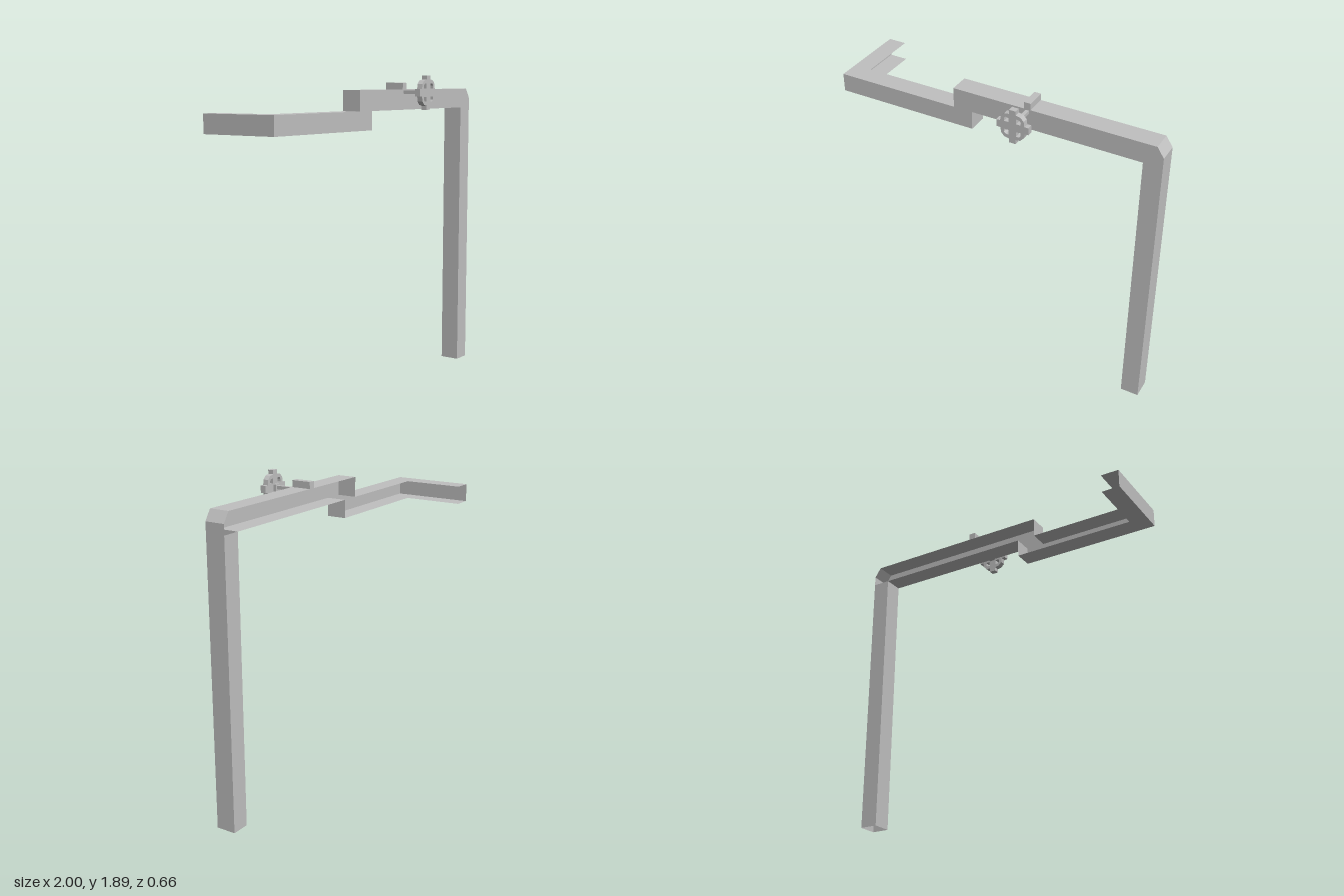
import * as THREE from 'three';

const FRONT = 0.16, BACK = 0.04, ARM_END = -0.33;

// Sheet made by sweeping an x/y path from zf back to zb
function ribbon(path, zf, zb) {
  const pos = [];
  for (let i = 0; i < path.length - 1; i++) {
    const [ax, ay] = path[i], [bx, by] = path[i + 1];
    pos.push(ax, ay, zf, bx, by, zf, bx, by, zb, ax, ay, zf, bx, by, zb, ax, ay, zb);
  }
  const g = new THREE.BufferGeometry();
  g.setAttribute('position', new THREE.Float32BufferAttribute(pos, 3));
  g.computeVertexNormals();
  return g;
}

const toPoints = (list) => list.map(([x, y]) => new THREE.Vector2(x, y));

export function createModel() {
  const model = new THREE.Group();
  model.name = 'pipeWithValve';
  const grey = new THREE.MeshStandardMaterial({ color: 0xc0c0c0, flatShading: true, side: THREE.DoubleSide });
  grey.name = 'grey';

  const add = (name, geometry, x = 0, y = 0, z = 0, parent = model) => {
    const mesh = new THREE.Mesh(geometry, grey);
    mesh.name = name;
    mesh.position.set(x, y, z);
    parent.add(mesh);
    return mesh;
  };

  // Stepped pipe outline, clockwise from the foot of the post
  const outline = [
    [0.89, 0], [0.89, 1.69], [-0.13, 1.69], [-0.13, 1.58], [-1, 1.58], [-1, 1.69],
    [-0.245, 1.69], [-0.245, 1.81], [0.96, 1.81], [1, 1.75], [1, 0],
  ];
  add('pipeFront', new THREE.ShapeGeometry(new THREE.Shape(toPoints(outline))), 0, 0, FRONT);
  add('pipeWalls', ribbon(outline, FRONT, BACK));

  // Back wall of the post; the horizontal run stays open behind
  const postBack = add('postBack', new THREE.PlaneGeometry(0.11, 1.69), 0.945, 0.845, BACK);
  postBack.rotation.y = Math.PI;

  // Side arm running back, open toward the inside and at its tip
  add('sideArm', ribbon([[-0.89, 1.58], [-1, 1.58], [-1, 1.69], [-0.89, 1.69]], BACK, ARM_END));

  // Valve: collar on the pipe, stem, hub and hand wheel
  const valve = new THREE.Group();
  valve.name = 'valve';
  valve.position.set(0.215, 1.793, 0);
  model.add(valve);
  add('valveCollar', new THREE.BoxGeometry(0.04, 0.04, FRONT - BACK), 0, 0.037, 0.1, valve);
  add('valveStem', new THREE.BoxGeometry(0.022, 0.02, 0.12), 0, 0.002, 0.22, valve);
  add('valveHub', new THREE.BoxGeometry(0.04, 0.04, 0.05), 0, 0, 0.3, valve);

  // Wheel rim with four grip tips, one quarter repeated around
  const quarter = [[0.095, -0.02], [0.095, 0.02], [0.071, 0.02], [0.067, 0.048], [0.048, 0.067], [0.02, 0.073]];
  const turn = ([x, y], k) => {
    const c = [1, 0, -1, 0][k], s = [0, 1, 0, -1][k];
    return [(x * c - y * s), (x * s + y * c) * 1.06];
  };
  const rim = [];
  for (let k = 0; k < 4; k++) rim.push(...quarter.map((p) => turn(p, k)));
  const wheel = new THREE.Shape(toPoints(rim));

  // Four openings with a clipped outer corner
  const opening = [[0.023, 0.023], [0.023, 0.05], [0.04, 0.05], [0.05, 0.04], [0.05, 0.023]];
  for (let k = 0; k < 4; k++) {
    wheel.holes.push(new THREE.Path(toPoints(opening.map((p) => turn(p, k)))));
  }
  add('valveWheel', new THREE.ExtrudeGeometry(wheel, { depth: 0.034, bevelEnabled: false }), 0, 0, 0.294, valve);

  return model;
}
